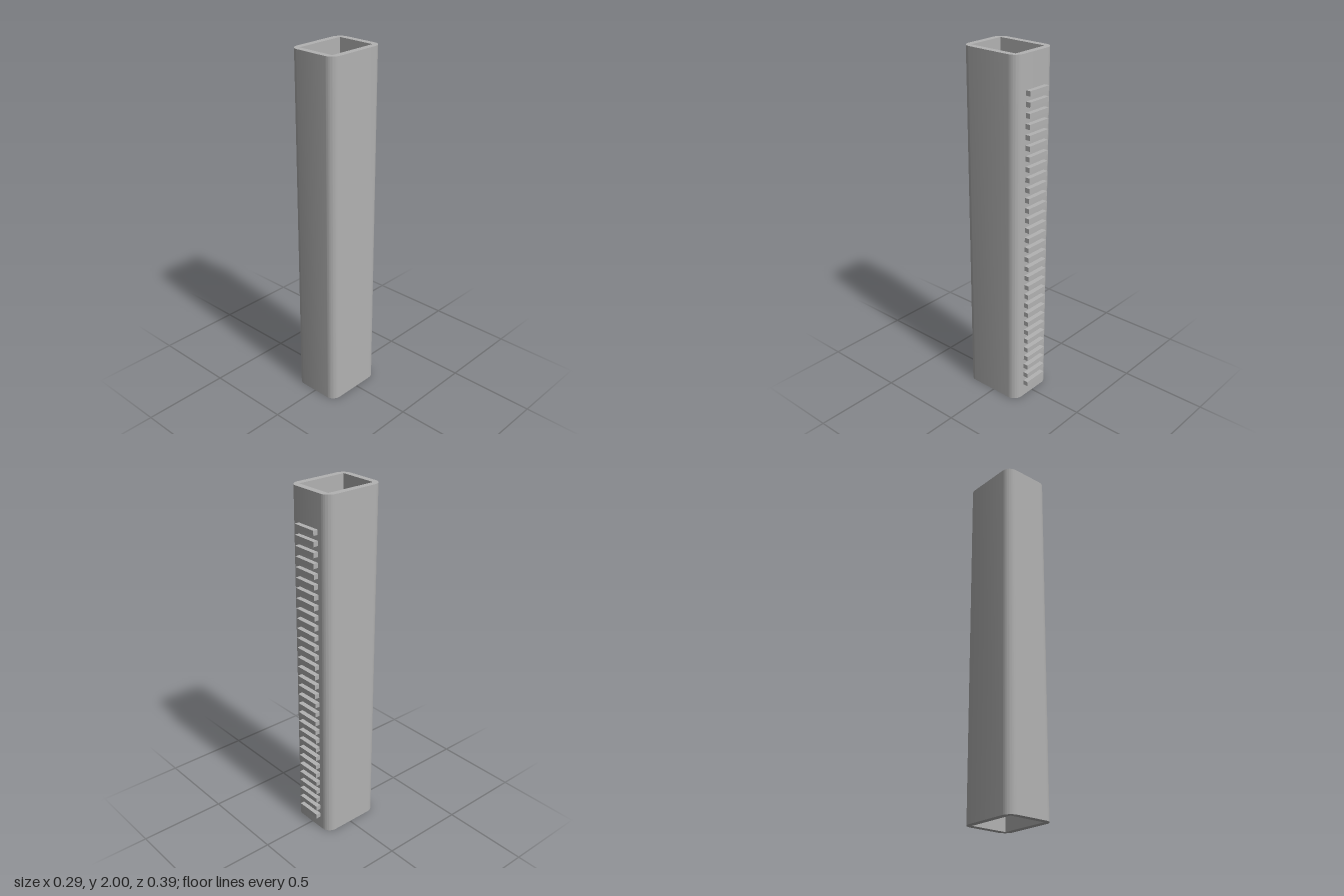
import * as THREE from 'three';
import { toCreasedNormals } from 'three/addons/utils/BufferGeometryUtils.js';

// Rectangle with rounded corners, drawn in plan (shape y = -z)
function roundedRect(w, y0, y1, r) {
  const s = new THREE.Shape();
  s.moveTo(w - r, y0);
  s.absarc(w - r, y0 + r, r, -Math.PI / 2, 0);
  s.absarc(w - r, y1 - r, r, 0, Math.PI / 2);
  s.absarc(-w + r, y1 - r, r, Math.PI / 2, Math.PI);
  s.absarc(-w + r, y0 + r, r, Math.PI, Math.PI * 1.5);
  s.closePath();
  return s;
}

export function createModel() {
  const model = new THREE.Group();
  model.name = 'toothedTube';
  const grey = new THREE.MeshStandardMaterial({ color: 0xb2b2b2 });
  grey.name = 'grey';

  // Hollow square tube: rounded outside, sharp-cornered bore
  const profile = roundedRect(0.146, -0.195, 0.168, 0.055);
  const bore = new THREE.Path();
  bore.moveTo(-0.11, -0.16);
  bore.lineTo(-0.11, 0.132);
  bore.lineTo(0.11, 0.132);
  bore.lineTo(0.11, -0.16);
  bore.closePath();
  profile.holes.push(bore);
  const tubeGeometry = new THREE.ExtrudeGeometry(profile, { depth: 2, bevelEnabled: false, curveSegments: 12 });
  tubeGeometry.rotateX(-Math.PI / 2);
  const tube = new THREE.Mesh(toCreasedNormals(tubeGeometry, 0.5), grey);
  tube.name = 'tube';
  model.add(tube);

  // Evenly spaced rack teeth up the back
  const rack = new THREE.Group();
  rack.name = 'rackTeeth';
  const toothGeometry = new THREE.BoxGeometry(0.146, 0.027, 0.029);
  const count = 31;
  for (let i = 0; i < count; i++) {
    const tooth = new THREE.Mesh(toothGeometry, grey);
    tooth.name = 'tooth' + (i + 1);
    tooth.position.set(0, 0.088 + (i * 1.716) / (count - 1), -0.1815);
    rack.add(tooth);
  }
  model.add(rack);
  return model;
}
